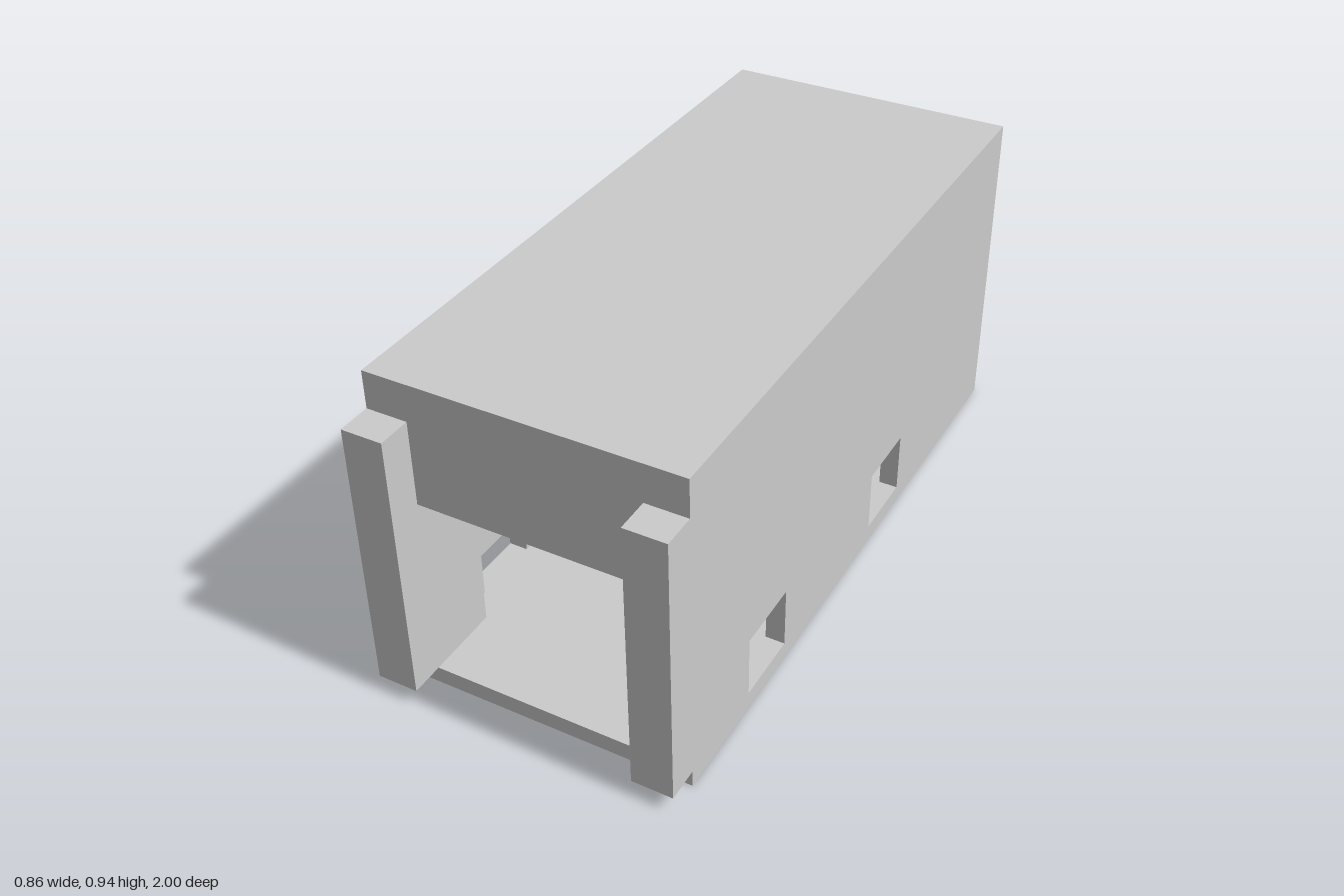
import * as THREE from 'three';

const W = 0.43, INNER = 0.315, POCKET = 0.375; // outer wall, cavity wall, pocket depth (half widths)
const H = 0.937, FLOOR = 0.05, CEILING = 0.587;
const FRONT = 0.905, BACK = -1, REAR_WALL = -0.9;

const grey = new THREE.MeshStandardMaterial({ color: 0xcccccc, flatShading: true });
const pale = new THREE.MeshStandardMaterial({ color: 0xd8d8d8, flatShading: true });

// Box given by its limits on each axis
function box(name, x0, x1, y0, y1, z0, z1, material = grey) {
  const mesh = new THREE.Mesh(new THREE.BoxGeometry(x1 - x0, y1 - y0, z1 - z0), material);
  mesh.position.set((x0 + x1) / 2, (y0 + y1) / 2, (z0 + z1) / 2);
  mesh.name = name;
  return mesh;
}

function rectHole(z0, z1, y0, y1) {
  return new THREE.Path([[z0, y0], [z0, y1], [z1, y1], [z1, y0]].map(p => new THREE.Vector2(...p)));
}

// Side slab in the z-y plane, with the stepped front post and openings
function sideSlab(name, side, xIn, xOut, holes) {
  const outline = [[BACK, 0], [FRONT, 0], [FRONT, FLOOR], [1, FLOOR], [1, 0.83],
    [FRONT, 0.83], [FRONT, H], [BACK, H]];
  const shape = new THREE.Shape(outline.map(p => new THREE.Vector2(...p)));
  shape.holes = holes.map(h => rectHole(...h));
  const geo = new THREE.ExtrudeGeometry(shape, { depth: xOut - xIn, bevelEnabled: false });
  geo.rotateY(-Math.PI / 2);
  geo.translate(side > 0 ? xOut : -xIn, 0, 0);
  const mesh = new THREE.Mesh(geo, grey);
  mesh.name = name;
  return mesh;
}

export function createModel() {
  const model = new THREE.Group();
  model.name = 'hollowHousing';

  // Side walls: outer skin with windows, inner lining with wider pockets
  const windows = [[0.405, 0.61, FLOOR, 0.23], [-0.345, -0.14, FLOOR, 0.23]];
  const pockets = [[0.315, 0.69, FLOOR, 0.26], [-0.435, -0.06, FLOOR, 0.26]];
  for (const side of [1, -1]) {
    const wall = new THREE.Group();
    wall.name = side > 0 ? 'leftWall' : 'rightWall';
    wall.add(sideSlab('outerSkin', side, POCKET, W, windows));
    wall.add(sideSlab('innerLining', side, INNER, POCKET, pockets));
    model.add(wall);
  }

  // Floor, thick roof block and closed rear
  model.add(box('floor', -INNER, INNER, 0, FLOOR, BACK, FRONT));
  model.add(box('roofBlock', -INNER, INNER, CEILING, H, BACK, FRONT));
  model.add(box('rearWall', -INNER, INNER, FLOOR, CEILING, BACK, REAR_WALL));

  // Raised plate at the back of the cavity
  model.add(box('rearPlate', -0.25, 0.25, 0.14, 0.51, REAR_WALL, REAR_WALL + 0.02, pale));

  return model;
}
